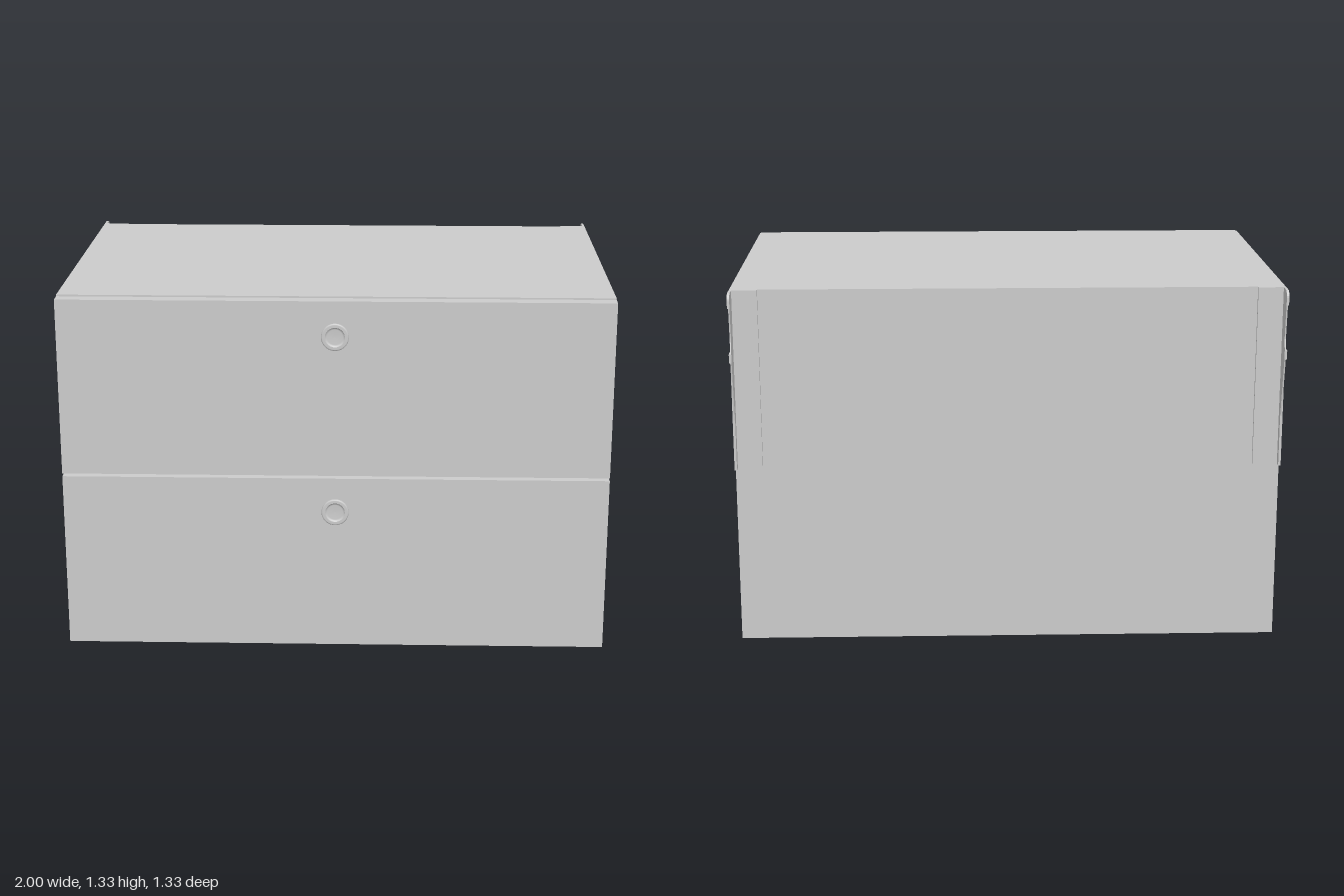
import * as THREE from 'three';

const material = new THREE.MeshStandardMaterial({ color: 0xcccccc });

function add(parent, name, geometry, x = 0, y = 0, z = 0) {
  const mesh = new THREE.Mesh(geometry, material);
  mesh.name = name;
  mesh.position.set(x, y, z);
  parent.add(mesh);
  return mesh;
}

// Flat side profile of (depth behind centre, height), extruded along x from x0 to x1
function sideProfile(points, x0, x1) {
  const shape = new THREE.Shape(points.map(([d, y]) => new THREE.Vector2(d, y)));
  const geometry = new THREE.ExtrudeGeometry(shape, { depth: x1 - x0, bevelEnabled: false });
  return geometry.rotateY(Math.PI / 2).translate(x0, 0, 0);
}

export function createModel() {
  const group = new THREE.Group();
  group.name = 'drawerUnit';

  // Carcass
  add(group, 'carcass', new THREE.BoxGeometry(2, 1.333, 1.199), 0, 0.6665, 0.0125);

  // Drawer fronts with round dished knobs
  const knobProfile = [
    [0.05, -0.002], [0.05, 0.004], [0.048, 0.0065], [0.045, 0.007], [0.036, 0.007],
    [0.036, 0.007], [0.033, 0.0035], [0.028, 0.0015], [0, 0.001],
  ].map(([r, h]) => new THREE.Vector2(r, h));
  for (const [bottom, top, knobY] of [[0, 0.66, 0.53], [0.671, 1.327, 1.196]]) {
    add(group, 'drawerFront', new THREE.BoxGeometry(2, top - bottom, 0.048), 0, (bottom + top) / 2, 0.636);
    const knob = add(group, 'knob', new THREE.LatheGeometry(knobProfile, 40), 0, knobY, 0.66);
    knob.rotation.x = Math.PI / 2;
  }

  // Rounded upper rear corner shared by both bracket layers
  const corner = [];
  for (let i = 0; i <= 6; i++) {
    const a = (i / 6) * Math.PI / 2;
    corner.push([0.642 + 0.025 * Math.cos(a), 1.308 + 0.025 * Math.sin(a)]);
  }
  const hookPoints = [
    [0.585, 0.671], [0.627, 0.671], [0.627, 1.082], [0.667, 1.082], [0.667, 1.115],
    [0.62, 1.115], [0.62, 1.298], [0.637, 1.298], [0.637, 1.281], [0.667, 1.281],
    ...corner, [0.585, 1.333],
  ];
  const wavePoints = [
    [0.585, 0.671], [0.627, 0.671], [0.627, 0.86], [0.667, 1.082], [0.667, 1.115],
    [0.655, 1.155], [0.655, 1.17], [0.667, 1.281], ...corner, [0.585, 1.333],
  ];

  // Mounting brackets: notched outer hook, wavy inner plate and rear flange
  for (const side of [-1, 1]) {
    const bracket = new THREE.Group();
    bracket.name = side > 0 ? 'leftBracket' : 'rightBracket';
    const span = (a, b) => (side > 0 ? [a, b] : [-b, -a]);
    add(bracket, 'hookPlate', sideProfile(hookPoints, ...span(0.996, 1)));
    add(bracket, 'innerPlate', sideProfile(wavePoints, ...span(0.991, 0.996)));
    add(bracket, 'rearFlange', new THREE.BoxGeometry(0.095, 0.662, 0.015), side * 0.9475, 1.002, -0.5915);
    group.add(bracket);
  }

  return group;
}
